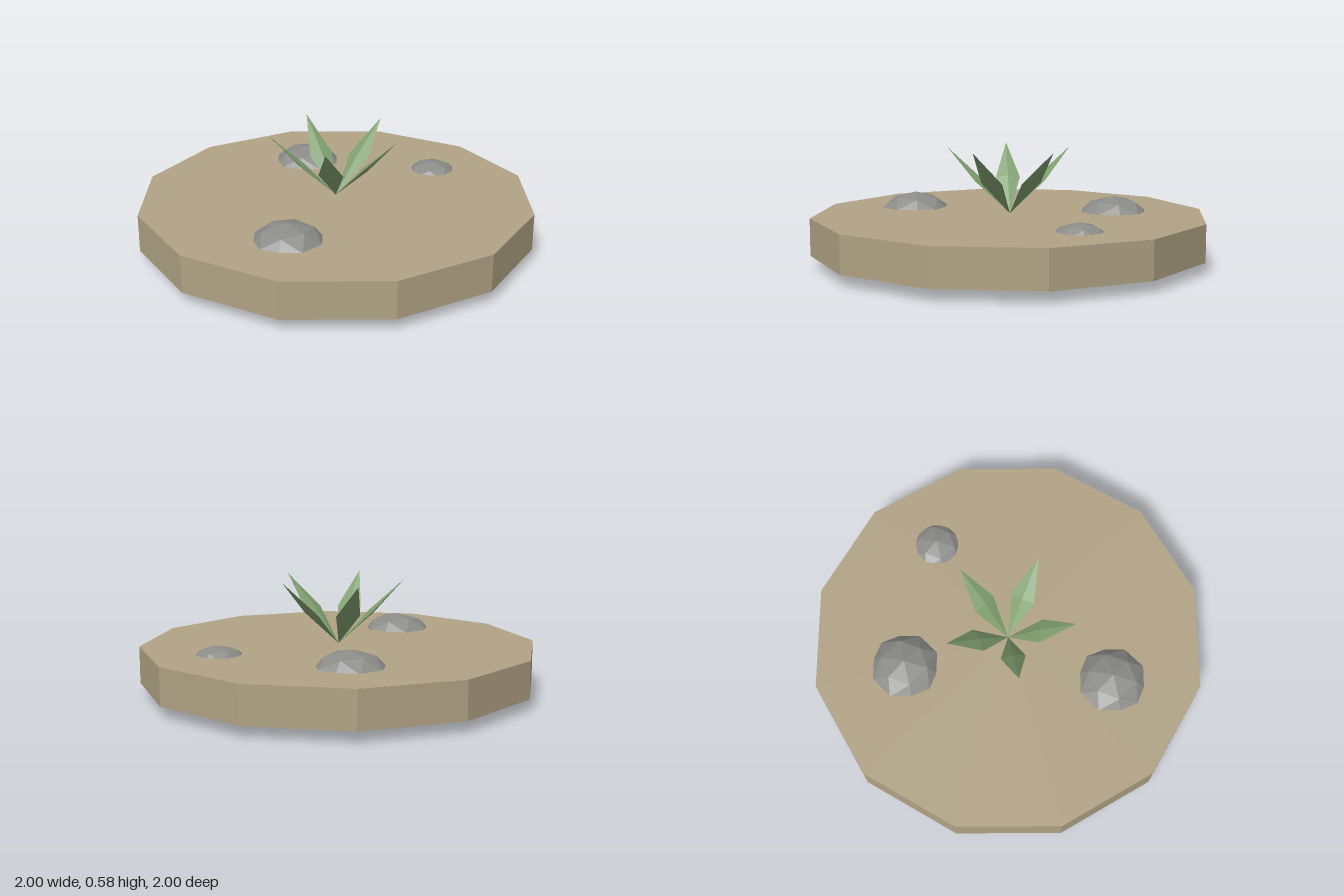
import * as THREE from 'three';

function material(name, color) {
  const m = new THREE.MeshStandardMaterial({ color });
  m.name = name;
  return m;
}

// Splits shared corners so every facet gets its own flat normal
function faceted(geometry) {
  const g = geometry.index ? geometry.toNonIndexed() : geometry;
  g.computeVertexNormals();
  return g;
}

export function createModel() {
  const model = new THREE.Group();
  model.name = 'plantedGroundDisc';
  const earth = material('sandyEarth', 0xb0a284);
  const stone = material('greyStone', 0x8b8c88);
  const green = material('leafGreen', 0x7f9f70);

  const add = (name, geometry, mat, parent = model) => {
    const mesh = new THREE.Mesh(geometry, mat);
    mesh.name = name;
    parent.add(mesh);
    return mesh;
  };

  // Twelve-sided ground slab
  const bottom = 0.056, top = 0.243;
  const slab = faceted(new THREE.CylinderGeometry(1, 1, top - bottom, 12));
  add('groundDisc', slab, earth).position.y = (bottom + top) / 2;

  // Squashed rocks embedded through the slab: x, z, radius
  const rocks = [
    [-0.53, 0.21, 0.205],
    [0.26, -0.475, 0.205],
    [0.63, 0.105, 0.161],
  ];
  rocks.forEach(([x, z, r], i) => {
    const geometry = new THREE.IcosahedronGeometry(r, 1);
    geometry.rotateY(Math.PI / 2);
    geometry.scale(1, 0.78, 1);
    add(`rock${i + 1}`, faceted(geometry), stone).position.set(x, 0.16, z);
  });

  // Five slim diamond leaves fanning out from one root
  const plant = new THREE.Group();
  plant.name = 'plant';
  plant.position.y = 0.245;
  model.add(plant);

  const length = 0.468, halfWidth = 0.062, halfThickness = 0.013;
  const leaf = new THREE.OctahedronGeometry(1, 0);
  leaf.scale(halfThickness, length / 2, halfWidth);
  leaf.translate(0, length / 2, 0);
  leaf.rotateZ(-Math.PI / 4);
  const leafGeometry = faceted(leaf);
  for (let i = 0; i < 5; i++) {
    add(`leaf${i + 1}`, leafGeometry, green, plant).rotation.y = (i / 5) * Math.PI * 2;
  }

  return model;
}
